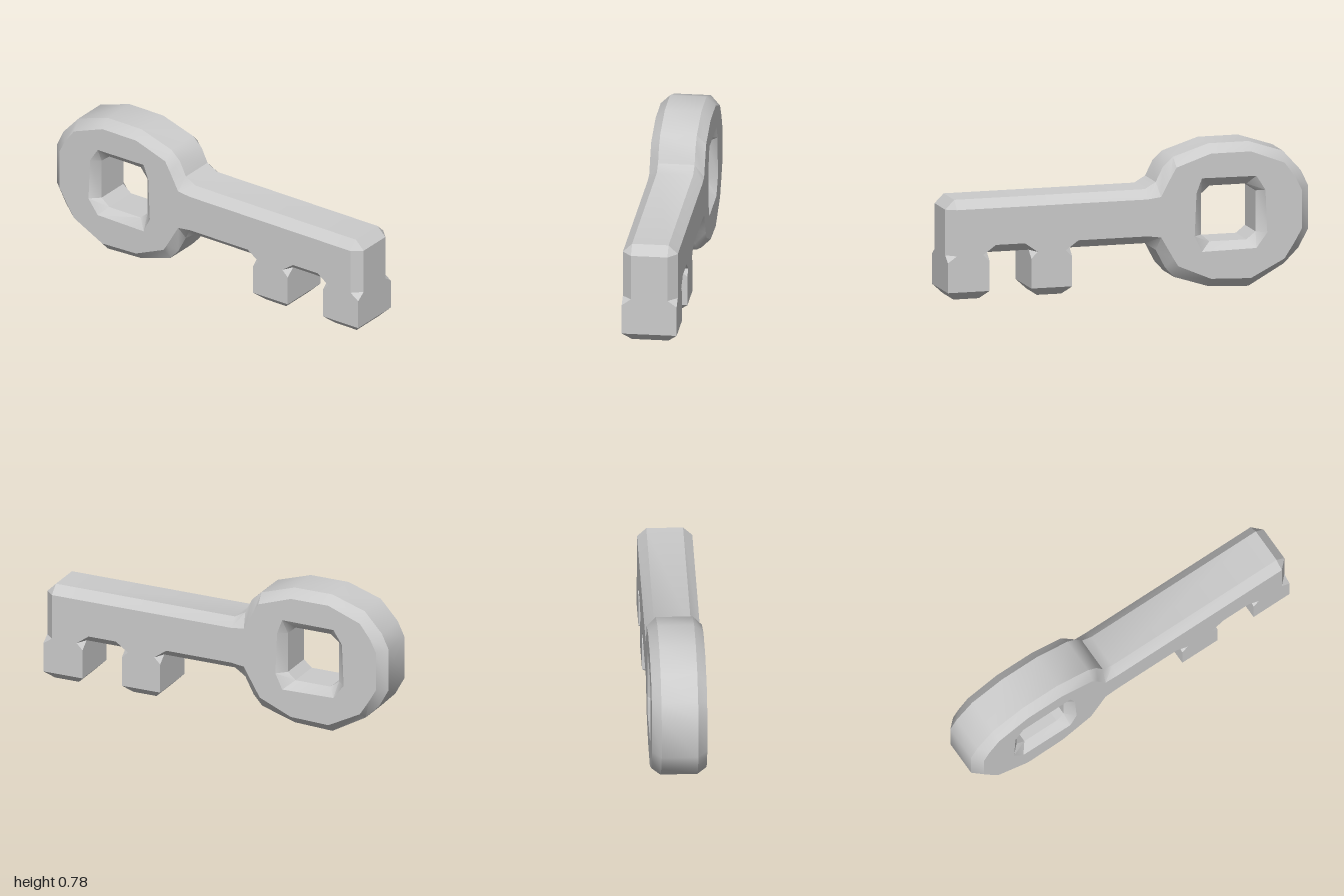
import * as THREE from 'three';
import { toCreasedNormals } from 'three/addons/utils/BufferGeometryUtils.js';

const HALF = 0.146; // depth of the flat faces
const MID = 0.097;  // depth where the bevel meets the side wall

// Every outline point is [rimX, rimY, faceX, faceY]: the rim is the side wall, the face is the bevelled flat.

// One flank of a tooth, listed downwards; s = 1 for a left flank, -1 for a right flank
const flank = (x, s) => [
  [x, 0.26, x - 0.035 * s, 0.305],
  [x, 0.26, x + 0.035 * s, 0.255],
  [x, 0.26, x, 0.22],
  [x, 0.22, x, 0.22],
  [x, 0.06, x, 0.06],
  [x + 0.045 * s, 0.015, x, 0.06],
];

// Outer outline, counter-clockwise from the lower left of the bow
const outline = [
  [-1, 0.29, -0.95, 0.30],
  [-0.945, 0.19, -0.91, 0.23],
  [-0.865, 0.11, -0.855, 0.145],
  [-0.67, 0, -0.67, 0.05],
  [-0.45, 0.01, -0.45, 0.058],
  [-0.26, 0.07, -0.27, 0.135],
  [-0.21, 0.125, -0.245, 0.175],
  [-0.16, 0.22, -0.175, 0.295],
  [-0.10, 0.26, -0.10, 0.305],
  // bit: two teeth with a notch between them
  ...flank(0.315, 1),
  ...flank(0.54, -1).reverse(),
  ...flank(0.77, 1),
  [0.955, 0.015, 1, 0.06],
  [1, 0.06, 1, 0.06],
  // tip of the shaft
  [1, 0.22, 1, 0.22],
  [1, 0.255, 1, 0.22],
  [1, 0.255, 0.95, 0.255],
  [1, 0.50, 0.95, 0.503],
  [0.95, 0.55, 0.95, 0.503],
  // shaft top and upper bow
  [-0.10, 0.55, -0.10, 0.503],
  [-0.16, 0.585, -0.175, 0.512],
  [-0.20, 0.665, -0.225, 0.605],
  [-0.255, 0.715, -0.26, 0.665],
  [-0.45, 0.777, -0.45, 0.73],
  [-0.67, 0.777, -0.67, 0.73],
  [-0.86, 0.715, -0.855, 0.66],
  [-0.96, 0.605, -0.915, 0.58],
  [-1, 0.52, -0.95, 0.51],
];

// Square hole with clipped corners, clockwise
const hole = [
  [-0.66, 0.55, -0.70, 0.597], [-0.455, 0.55, -0.40, 0.60],
  [-0.41, 0.51, -0.37, 0.52], [-0.41, 0.29, -0.36, 0.29],
  [-0.455, 0.25, -0.40, 0.205], [-0.66, 0.25, -0.70, 0.21],
  [-0.71, 0.29, -0.76, 0.29], [-0.71, 0.51, -0.75, 0.52],
];

function keyGeometry() {
  const positions = [];
  const tri = (a, b, c) => {
    const area = new THREE.Triangle(a, b, c).getArea();
    if (area > 1e-7) for (const p of [a, b, c]) positions.push(p.x, p.y, p.z);
  };

  // Bevel, side wall, bevel
  const layers = [[2, -HALF], [0, -MID], [0, MID], [2, HALF]];
  const at = (p, [k, z]) => new THREE.Vector3(p[k], p[k + 1], z);
  for (const loop of [outline, hole]) {
    loop.forEach((p, i) => {
      const q = loop[(i + 1) % loop.length];
      for (let j = 0; j < 3; j++) {
        const a = at(p, layers[j]), b = at(q, layers[j]);
        const c = at(q, layers[j + 1]), d = at(p, layers[j + 1]);
        tri(a, b, c);
        tri(a, c, d);
      }
    });
  }

  // Flat front and back faces
  const flat = (loop) => loop
    .map((p) => new THREE.Vector2(p[2], p[3]))
    .filter((p, i, all) => p.distanceTo(all[(i + 1) % all.length]) > 1e-5);
  const outer = flat(outline), inner = flat(hole);
  const points = [...outer, ...inner];
  for (const face of THREE.ShapeUtils.triangulateShape(outer, [inner])) {
    const corners = face.map((i) => points[i]);
    if (THREE.ShapeUtils.area(corners) < 0) corners.reverse();
    const [a, b, c] = corners;
    const lift = (p, z) => new THREE.Vector3(p.x, p.y, z);
    tri(lift(a, HALF), lift(b, HALF), lift(c, HALF));
    tri(lift(c, -HALF), lift(b, -HALF), lift(a, -HALF));
  }

  const geometry = new THREE.BufferGeometry();
  geometry.setAttribute('position', new THREE.Float32BufferAttribute(positions, 3));
  return toCreasedNormals(geometry, 0.55);
}

export function createModel() {
  const group = new THREE.Group();
  group.name = 'key';
  const body = new THREE.Mesh(keyGeometry(), new THREE.MeshStandardMaterial({ color: 0xcccccc }));
  body.name = 'keyBody';
  group.add(body);
  return group;
}
